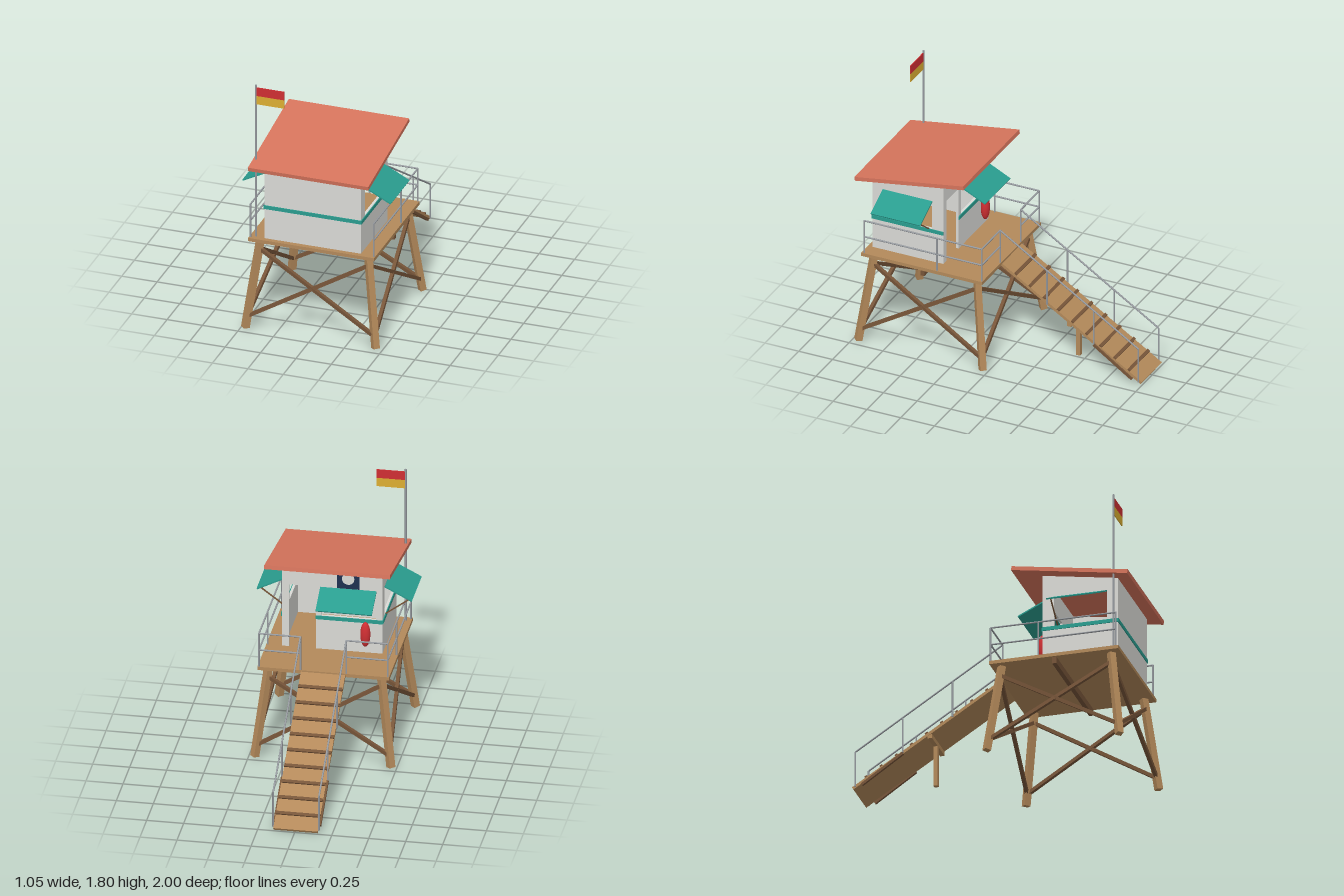
import * as THREE from 'three';

const mat = (name, color) => {
  const m = new THREE.MeshStandardMaterial({ color });
  m.name = name;
  return m;
};

export function createModel() {
  const group = new THREE.Group();
  const wood = mat('light wood', 0xb3895a);
  const darkWood = mat('dark wood', 0x775539);
  const white = mat('painted wall', 0xdadad6);
  const teal = mat('teal', 0x2a9d8f);
  const coral = mat('coral roof', 0xd6745c);
  const metal = mat('grey metal', 0x989ca1);
  const red = mat('red', 0xcf2f33);
  const yellow = mat('yellow', 0xdcae32);
  const navy = mat('navy', 0x1f3050);

  const V = (x, y, z) => new THREE.Vector3(x, y, z);
  const add = (name, geo, material, x = 0, y = 0, z = 0, rx = 0) => {
    const m = new THREE.Mesh(geo, material);
    m.name = name;
    m.position.set(x, y, z);
    m.rotation.x = rx;
    group.add(m);
    return m;
  };
  const box = (name, material, w, h, d, x, y, z, rx = 0) =>
    add(name, new THREE.BoxGeometry(w, h, d), material, x, y, z, rx);
  // Lay a geometry whose length is along y between two points
  const between = (name, material, a, b, make) => {
    const dir = b.clone().sub(a);
    const m = add(name, make(dir.length()), material);
    m.position.copy(a).lerp(b, 0.5);
    m.quaternion.setFromUnitVectors(V(0, 1, 0), dir.normalize());
    return m;
  };
  const beam = (name, material, a, b, w, d = w) =>
    between(name, material, a, b, (l) => new THREE.BoxGeometry(w, l, d));
  const rod = (name, a, b, r = 0.006) =>
    between(name, metal, a, b, (l) => new THREE.CylinderGeometry(r, r, l, 8));
  const shapeOf = (pts) => new THREE.Shape(pts.map((p) => new THREE.Vector2(...p)));
  const rectHole = (x0, x1, y0, y1) =>
    new THREE.Path([[x0, y0], [x0, y1], [x1, y1], [x1, y0]].map((p) => new THREE.Vector2(...p)));

  // Splayed four-sided legs
  const midZ = 0.4925;
  const legAt = (sx, sz, y) => {
    const r = 0.46 - (0.08 * (y - 0.02)) / 0.64;
    return V(sx * r, y, midZ + sz * r);
  };
  const corners = [[-1, 1], [1, 1], [1, -1], [-1, -1]];
  corners.forEach(([sx, sz], i) => {
    between('leg', wood, legAt(sx, sz, 0.02), legAt(sx, sz, 0.658), (l) => {
      const g = new THREE.CylinderGeometry(0.031, 0.031, l, 4).toNonIndexed();
      g.computeVertexNormals();
      return g;
    });
    // Crossed braces to the next leg
    const [nx, nz] = corners[(i + 1) % 4];
    beam('crossBrace', darkWood, legAt(sx, sz, 0.1), legAt(nx, nz, 0.59), 0.024);
    beam('crossBrace', darkWood, legAt(sx, sz, 0.59), legAt(nx, nz, 0.1), 0.024);
  });

  // Deck and joist
  box('deck', wood, 0.89, 0.024, 0.895, 0, 0.668, midZ);
  box('joist', darkWood, 0.865, 0.046, 0.03, 0, 0.633, midZ);

  // Cabin walls
  const X = 0.34, Z0 = 0.382, Z1 = 0.906, T = 0.018, Y0 = 0.68;
  const wallTop = (z) => 1.212 + (1 - z) * 0.16;
  for (const s of [-1, 1]) {
    const side = shapeOf([[Z0, Y0], [Z1, Y0], [Z1, wallTop(Z1)], [Z0, wallTop(Z0)]]);
    side.holes.push(rectHole(0.465, 0.83, 0.928, 1.14));
    const g = new THREE.ExtrudeGeometry(side, { depth: T, bevelEnabled: false });
    g.rotateY(-Math.PI / 2);
    add('sideWall', g, white, s > 0 ? X : -X + T);
    box('sideStripe', teal, 0.008, 0.026, Z1 - Z0, s * (X + 0.002), 0.913, (Z0 + Z1) / 2);
    // Propped side shutter
    beam('sideShutter', teal, V(s * X, 1.138, 0.647), V(s * 0.523, 1.045, 0.647), 0.009, 0.367);
    beam('shutterProp', darkWood, V(s * X, 0.925, 0.49), V(s * 0.505, 1.048, 0.49), 0.008);
  }
  const inner = 2 * (X - T);
  box('frontWall', white, inner, 0.545, T, 0, Y0 + 0.2725, Z1 - T / 2);
  box('frontStripe', teal, 2 * X + 0.012, 0.026, 0.008, 0, 0.913, Z1 + 0.002);

  // Back wall with doorway and window
  const xi = X - T, top = wallTop(Z0);
  const back = shapeOf([[-xi, Y0], [0.11, Y0], [0.11, 1.14], [0.29, 1.14], [0.29, Y0],
    [xi, Y0], [xi, top], [-xi, top]]);
  back.holes.push(rectHole(-0.295, 0.075, 0.928, 1.14));
  add('backWall', new THREE.ExtrudeGeometry(back, { depth: T, bevelEnabled: false }), white, 0, 0, Z0);
  box('backStripe', teal, X + 0.11, 0.026, 0.008, (0.11 - X) / 2, 0.913, Z0 - 0.002);
  beam('backShutter', teal, V(-0.11, 1.138, Z0), V(-0.11, 1.05, 0.2), 0.38, 0.009);

  // Sign panel with a plain disc
  box('signPanel', navy, 0.15, 0.14, 0.009, -0.11, 1.216, Z0 - 0.0045);
  const disc = add('signDisc', new THREE.CylinderGeometry(0.042, 0.042, 0.004, 24), white, -0.11, 1.22, Z0 - 0.01);
  disc.rotation.x = Math.PI / 2;

  // Rescue float on the back wall
  add('rescueFloat', new THREE.SphereGeometry(1, 20, 14), red, -0.23, 0.83, 0.35).scale.set(0.034, 0.09, 0.03);

  // Sloped roof
  box('roof', coral, 0.85, 0.028, 0.816, 0, 1.286, 0.595, 0.159);

  // Flagpole and flag
  rod('flagpole', V(-0.405, Y0, 0.895), V(-0.405, 1.805, 0.895), 0.007);
  box('flagRed', red, 0.195, 0.062, 0.006, -0.304, 1.756, 0.895);
  box('flagYellow', yellow, 0.195, 0.062, 0.006, -0.304, 1.694, 0.895);

  // Ramp with cleats
  const slope = 0.628, rampY = (z) => 0.664 + slope * (z - 0.045);
  beam('ramp', wood, V(0, 0.664, 0.045), V(0, rampY(-0.99), -0.99), 0.3, 0.02);
  for (let i = 0; i < 9; i++) {
    const z = -0.06 - 0.1046 * i;
    box('rampCleat', darkWood, 0.298, 0.014, 0.022, 0, rampY(z) + 0.017, z, -Math.atan(slope));
  }
  box('rampPost', wood, 0.03, 0.32, 0.03, 0, 0.185, -0.455);
  box('rampCrossbar', wood, 0.295, 0.03, 0.03, 0, 0.328, -0.455);

  // Railings, mirrored left and right
  for (const s of [-1, 1]) {
    const rx = s * 0.435, hx = s * 0.155, zb = 0.052, zf = 0.92;
    for (const z of [zb, Z0, zf]) rod('railPost', V(rx, Y0, z), V(rx, 0.927, z));
    rod('railPost', V(hx, Y0, zb), V(hx, 0.927, zb));
    for (const y of [0.925, 0.803]) {
      rod('sideRail', V(rx, y, zb), V(rx, y, zf));
      rod('backRail', V(rx, y, zb), V(hx, y, zb));
    }
    const railY = (z) => 0.925 + 0.636 * (z - zb);
    rod('rampHandrail', V(hx, 0.925, zb), V(hx, railY(-0.97), -0.97));
    for (const z of [-0.295, -0.64, -0.97]) rod('rampRailPost', V(hx, rampY(z) - 0.005, z), V(hx, railY(z), z));
    // Lower ramp runners
    beam('rampRunner', darkWood, V(s * 0.152, 0.225, -0.64), V(s * 0.152, 0.032, -0.925), 0.018);
  }

  group.position.x = -0.004;
  const model = new THREE.Group();
  model.name = 'lifeguardTower';
  group.name = 'tower';
  model.add(group);
  return model;
}
